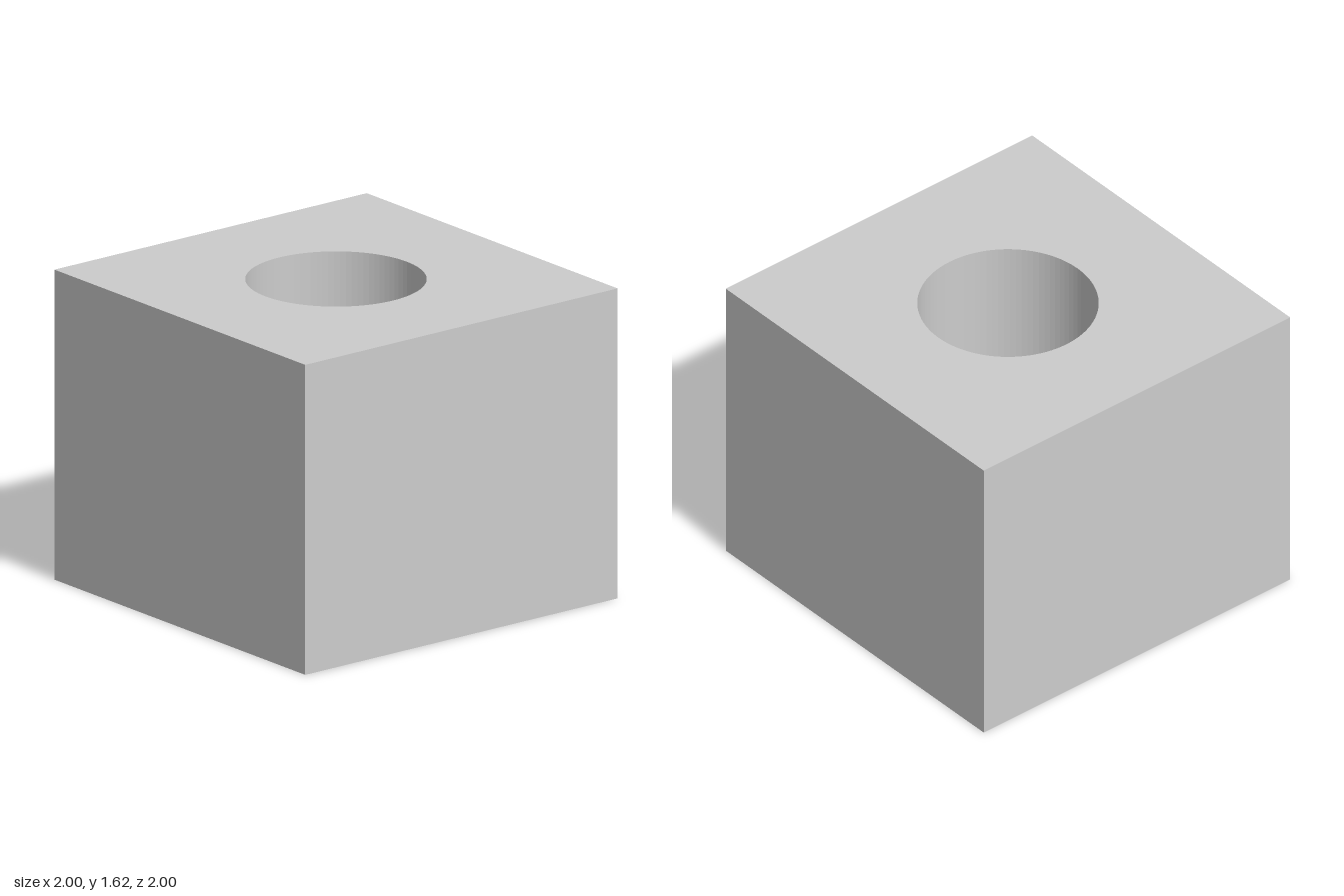
import * as THREE from 'three';

const HEIGHT = 1.625, HALF = 1;
const HOLE_R = 0.453;                       // round bore
const HEX_R = 0.871, HEX_TOP = 0.777;       // nut pocket, corners on the z axis
const SLOT_X = 0.825, SLOT_TOP = 0.855;     // shallow slot above the pocket

const v = (x, z) => new THREE.Vector2(x, z);
const rect = (a, b) => [v(-a, -b), v(a, -b), v(a, b), v(-a, b)];
const ring = (r, n, start = 0) => Array.from({ length: n }, (_, i) => {
  const t = start + (i / n) * Math.PI * 2;
  return v(r * Math.cos(t), r * Math.sin(t));
});

export function createModel() {
  const group = new THREE.Group();
  const grey = new THREE.MeshStandardMaterial({ color: 0xcccccc });
  grey.name = 'light grey';

  const add = (name, geometry) => {
    const mesh = new THREE.Mesh(geometry, grey);
    mesh.name = name;
    group.add(mesh);
  };

  // Flat horizontal face from (x, z) points, with an optional opening
  const plate = (name, points, y, up, opening) => {
    const shape = new THREE.Shape(points.map(p => v(p.x, up ? -p.y : p.y)));
    if (opening) shape.holes.push(new THREE.Path(opening.map(p => v(p.x, up ? -p.y : p.y))));
    const geometry = new THREE.ShapeGeometry(shape);
    geometry.rotateX(up ? -Math.PI / 2 : Math.PI / 2);
    geometry.translate(0, y, 0);
    add(name, geometry);
  };

  // Vertical walls around a closed outline, facing inward or outward
  const walls = (name, points, y0, y1, inward) => {
    const pos = [];
    points.forEach((p, i) => {
      const q = points[(i + 1) % points.length];
      const [a, b] = inward ? [p, q] : [q, p];
      const A = [a.x, y0, a.y], B = [b.x, y0, b.y];
      const C = [b.x, y1, b.y], D = [a.x, y1, a.y];
      pos.push(...A, ...B, ...C, ...A, ...C, ...D);
    });
    const geometry = new THREE.BufferGeometry();
    geometry.setAttribute('position', new THREE.Float32BufferAttribute(pos, 3));
    geometry.computeVertexNormals();
    add(name, geometry);
  };

  const square = rect(HALF, HALF);
  const slot = rect(SLOT_X, HOLE_R);
  const hex = ring(HEX_R, 6, Math.PI / 6);
  const bore = ring(HOLE_R, 96);

  // Block
  walls('blockSides', square, 0, HEIGHT, false);
  plate('blockTop', square, HEIGHT, true, bore);
  plate('blockBottom', square, 0, false, hex);

  // Cavity walls, from bottom to top
  walls('hexPocketWalls', hex, 0, HEX_TOP, true);
  walls('slotWalls', slot, HEX_TOP, SLOT_TOP, true);
  walls('boreWall', bore, SLOT_TOP, HEIGHT, true);
  plate('slotCeiling', slot, SLOT_TOP, false, bore);

  // Pocket ceiling beside the slot, and slot floor beyond the pocket
  const cutX = (HEX_R - HOLE_R) * Math.sqrt(3);
  const flatX = HEX_R * Math.cos(Math.PI / 6), flatZ = HEX_R / 2;
  for (const s of [1, -1]) {
    plate('pocketCeiling', [v(-cutX, s * HOLE_R), v(cutX, s * HOLE_R), v(0, s * HEX_R)], HEX_TOP, false);
    plate('slotFloor', [
      v(s * SLOT_X, -HOLE_R), v(s * SLOT_X, HOLE_R), v(s * cutX, HOLE_R),
      v(s * flatX, flatZ), v(s * flatX, -flatZ), v(s * cutX, -HOLE_R),
    ], HEX_TOP, true);
  }
  return group;
}
